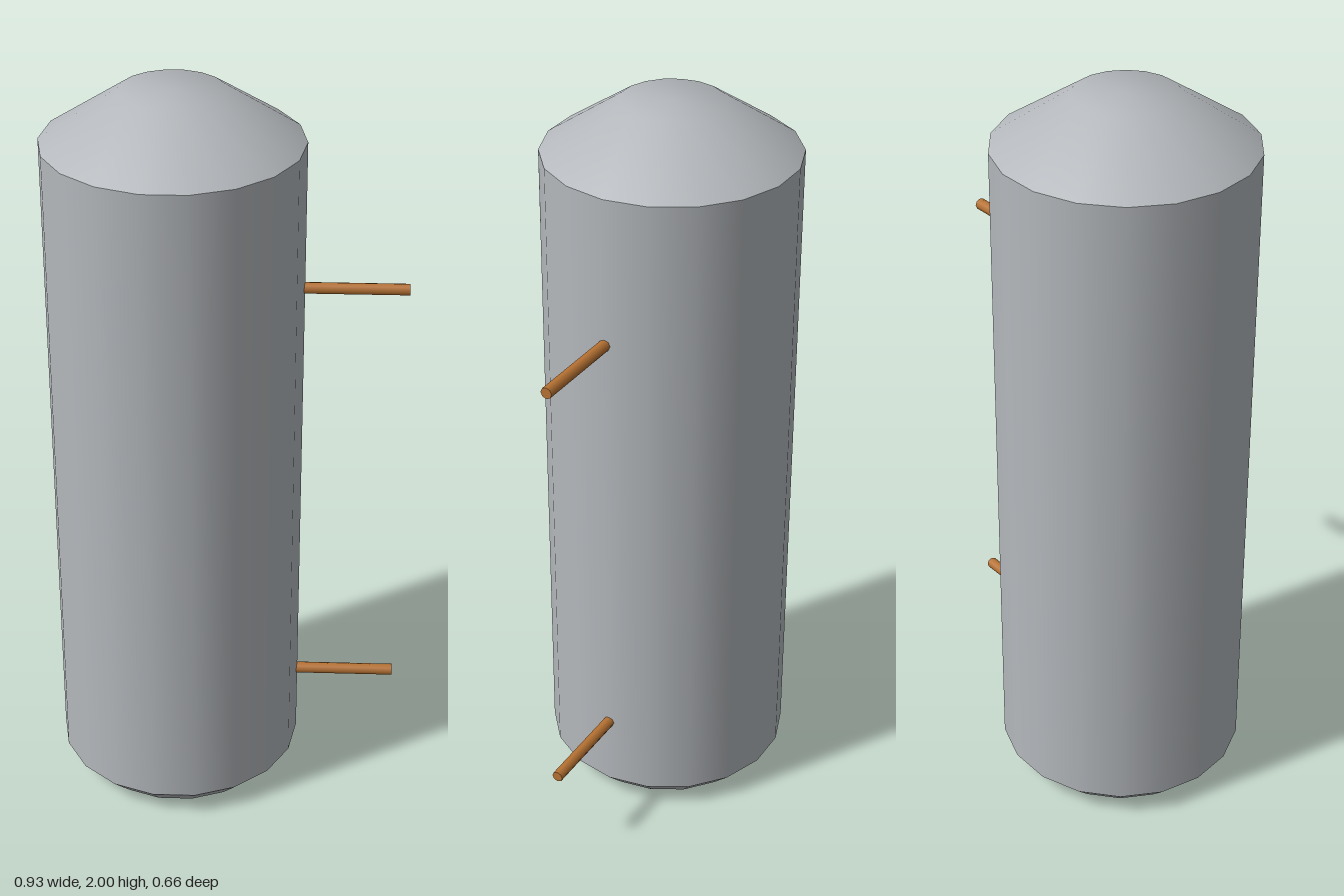
import * as THREE from 'three';

const SIDES = 18;
const AXIS_X = -0.133;

export function createModel() {
  const model = new THREE.Group();
  model.name = 'storageTank';

  const steel = new THREE.MeshStandardMaterial({ color: 0xb4b8bc });
  steel.name = 'grey steel';
  const copper = new THREE.MeshStandardMaterial({ color: 0xb87333 });
  copper.name = 'copper';

  // Each band is smooth by itself; creases fall between the bands.
  const addBand = (name, profile) => {
    const points = profile.map(([r, y]) => new THREE.Vector2(r, y));
    const mesh = new THREE.Mesh(new THREE.LatheGeometry(points, SIDES, Math.PI / 2), steel);
    mesh.name = name;
    mesh.position.x = AXIS_X;
    model.add(mesh);
  };
  addBand('tankBase', [[0, 0], [0.267, 0]]);
  addBand('bottomChamfer', [[0.267, 0], [0.333, 0.067]]);
  addBand('tankWall', [[0.333, 0.067], [0.333, 1.867]]);
  addBand('domedTop', [[0.333, 1.867], [0.133, 2], [0, 2]]);

  // Inlet and outlet pipes, set slightly into the wall
  const pipeStart = 0.195, pipeEnd = 0.467;
  const pipeGeometry = new THREE.CylinderGeometry(0.0155, 0.0155, pipeEnd - pipeStart, 8);
  pipeGeometry.rotateZ(-Math.PI / 2);
  for (const [name, y] of [['upperPipe', 1.47], ['lowerPipe', 0.27]]) {
    const pipe = new THREE.Mesh(pipeGeometry, copper);
    pipe.name = name;
    pipe.position.set((pipeStart + pipeEnd) / 2, y, 0);
    model.add(pipe);
  }

  return model;
}
